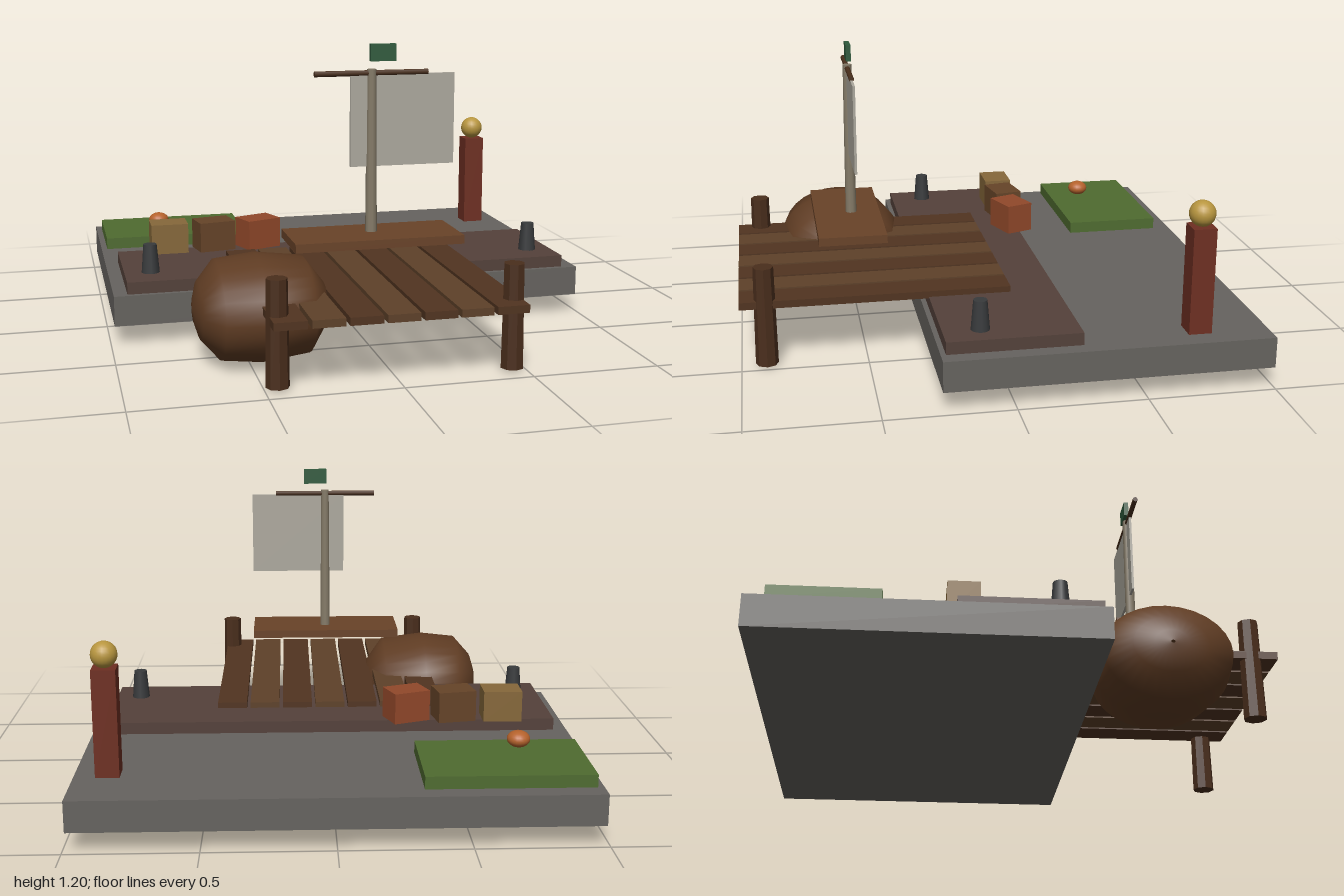
import * as THREE from 'three';

const mat = (color, extra = {}) => new THREE.MeshStandardMaterial({ color, ...extra });

export function createModel() {
  const model = new THREE.Group();

  const add = (name, geometry, material, x, y, z) => {
    const mesh = new THREE.Mesh(geometry, material);
    mesh.name = name;
    mesh.position.set(x, y, z);
    model.add(mesh);
    return mesh;
  };
  // Box given by its minimum and maximum on each axis
  const slab = (name, color, [x0, x1], [y0, y1], [z0, z1]) =>
    add(name, new THREE.BoxGeometry(x1 - x0, y1 - y0, z1 - z0), mat(color),
      (x0 + x1) / 2, (y0 + y1) / 2, (z0 + z1) / 2);

  // Ground, quay and lawn
  slab('ground', 0x66635f, [-0.985, 0.985], [0.085, 0.207], [-1, 0.275]);
  slab('quay', 0x54413a, [-0.93, 0.925], [0.207, 0.256], [-0.265, 0.255]);
  slab('lawn', 0x4f6b30, [-0.96, -0.322], [0.207, 0.256], [-0.927, -0.525]);
  add('lawnBall', new THREE.SphereGeometry(0.045, 20, 14), mat(0xb5622c), -0.711, 0.305, -0.655)
    .scale.y = 0.72;

  // Gate pillar with a ball on top
  slab('pillar', 0x6e2f22, [0.81, 0.902], [0.207, 0.626], [-0.77, -0.68]);
  add('pillarBall', new THREE.SphereGeometry(0.051, 20, 14), mat(0xb8963f), 0.856, 0.675, -0.725);

  // Row of crates, each turned a little more
  [[-0.71, 0x86683a], [-0.512, 0x664428], [-0.315, 0x91482a]].forEach(([x, color], i) => {
    add('crate', new THREE.BoxGeometry(0.158, 0.128, 0.122), mat(color), x, 0.32, -0.237)
      .rotation.y = i * 0.18;
  });

  // Mooring bollards and jetty posts, mirrored
  const iron = mat(0x383a3c);
  const timber = mat(0x4a2e1c, { flatShading: true });
  for (const side of [-1, 1]) {
    add('bollard', new THREE.CylinderGeometry(0.027, 0.037, 0.118, 12), iron, side * 0.823, 0.315, 0.11);
    add('jettyPost', new THREE.CylinderGeometry(0.04, 0.045, 0.405, 8), timber, side * 0.45, 0.213, 0.9);
  }

  // Jetty planks in alternating browns
  for (let i = -3; i <= 3; i++) {
    const x = i * 0.139 - 0.003;
    slab('jettyPlank', i % 2 ? 0x533620 : 0x5c4029, [x - 0.062, x + 0.062], [0.25, 0.28], [-0.076, 1]);
  }
  // Outer and centre planks share the darker tone
  model.children.filter((m) => m.name === 'jettyPlank')
    .forEach((m, i) => m.material.color.set(i % 2 ? 0x5e4129 : 0x513420));

  // Boat hull: a rounded body turned around the x axis, wider than tall
  const profile = [[0.006, -0.71], [0.05, -0.704], [0.11, -0.685], [0.19, -0.615],
    [0.207, -0.46], [0.185, -0.275], [0.085, -0.2], [0.006, -0.18]]
    .map(([r, x]) => new THREE.Vector2(r, x));
  const hullGeometry = new THREE.LatheGeometry(profile, 28);
  hullGeometry.rotateZ(-Math.PI / 2);
  hullGeometry.scale(1, 1, 1.31);
  add('hull', hullGeometry, mat(0x5f3c23, { side: THREE.DoubleSide }), 0, 0.209, 0.54);

  // Deck, mast, yard, sail and flag
  slab('deck', 0x694328, [-0.333, 0.332], [0.442, 0.476], [0.4, 0.675]);
  add('mast', new THREE.CylinderGeometry(0.018, 0.023, 0.634, 10), mat(0x857b68), 0, 0.793, 0.52);
  add('yard', new THREE.CylinderGeometry(0.011, 0.011, 0.45, 8), mat(0x4a2f1b), 0, 1.095, 0.52)
    .rotation.z = Math.PI / 2;
  slab('sail', 0xaca89d, [-0.085, 0.332], [0.734, 1.09], [0.515, 0.525]);
  slab('flag', 0x2f5a3c, [-0.006, 0.095], [1.14, 1.206], [0.51, 0.53]);

  return model;
}
